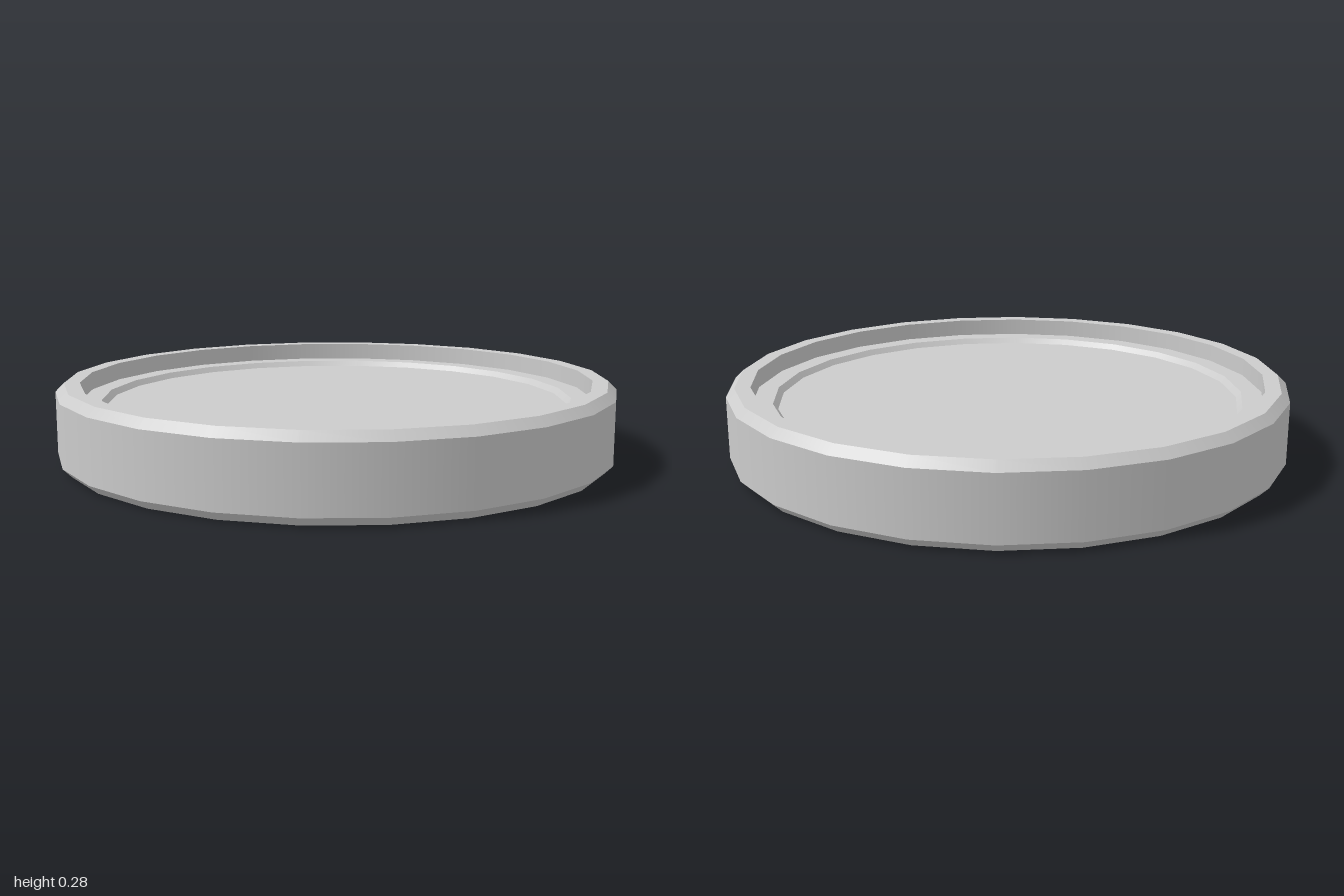
import * as THREE from 'three';
import { mergeGeometries } from 'three/addons/utils/BufferGeometryUtils.js';

const SIDES = 24;
const HEIGHT = 0.28;

// Turn each profile segment separately: smooth around the disc, sharp between bands
function turned(name, profile, material) {
  const bands = [];
  for (let i = 0; i < profile.length - 1; i++) {
    const pair = [profile[i], profile[i + 1]].map(([r, y]) => new THREE.Vector2(r, y));
    bands.push(new THREE.LatheGeometry(pair, SIDES));
  }
  const mesh = new THREE.Mesh(mergeGeometries(bands), material);
  mesh.name = name;
  return mesh;
}

// Complete a lower-half profile with its mirror image above mid height
const mirrored = (half) => [...half, ...half.slice().reverse().map(([r, y]) => [r, HEIGHT - y])];

export function createModel() {
  const group = new THREE.Group();
  group.name = 'recessedDisc';
  const material = new THREE.MeshStandardMaterial({ color: 0xcccccc });

  // Chamfered outer rim with vertical inner walls on both faces
  const rim = mirrored([[0.915, 0.064], [0.915, 0], [0.97, 0], [1, 0.03]]);
  group.add(turned('rim', rim, material));

  // Flat ledges and small bevels leading down to the sunken faces
  const ledge = [[0.825, 0.084], [0.842, 0.064], [0.915, 0.064]];
  const upperLedge = ledge.slice().reverse().map(([r, y]) => [r, HEIGHT - y]);
  group.add(turned('lowerLedge', ledge, material));
  group.add(turned('upperLedge', upperLedge, material));

  // Sunken round faces
  group.add(turned('lowerFace', [[0, 0.084], [0.825, 0.084]], material));
  group.add(turned('upperFace', [[0.825, HEIGHT - 0.084], [0, HEIGHT - 0.084]], material));

  return group;
}
